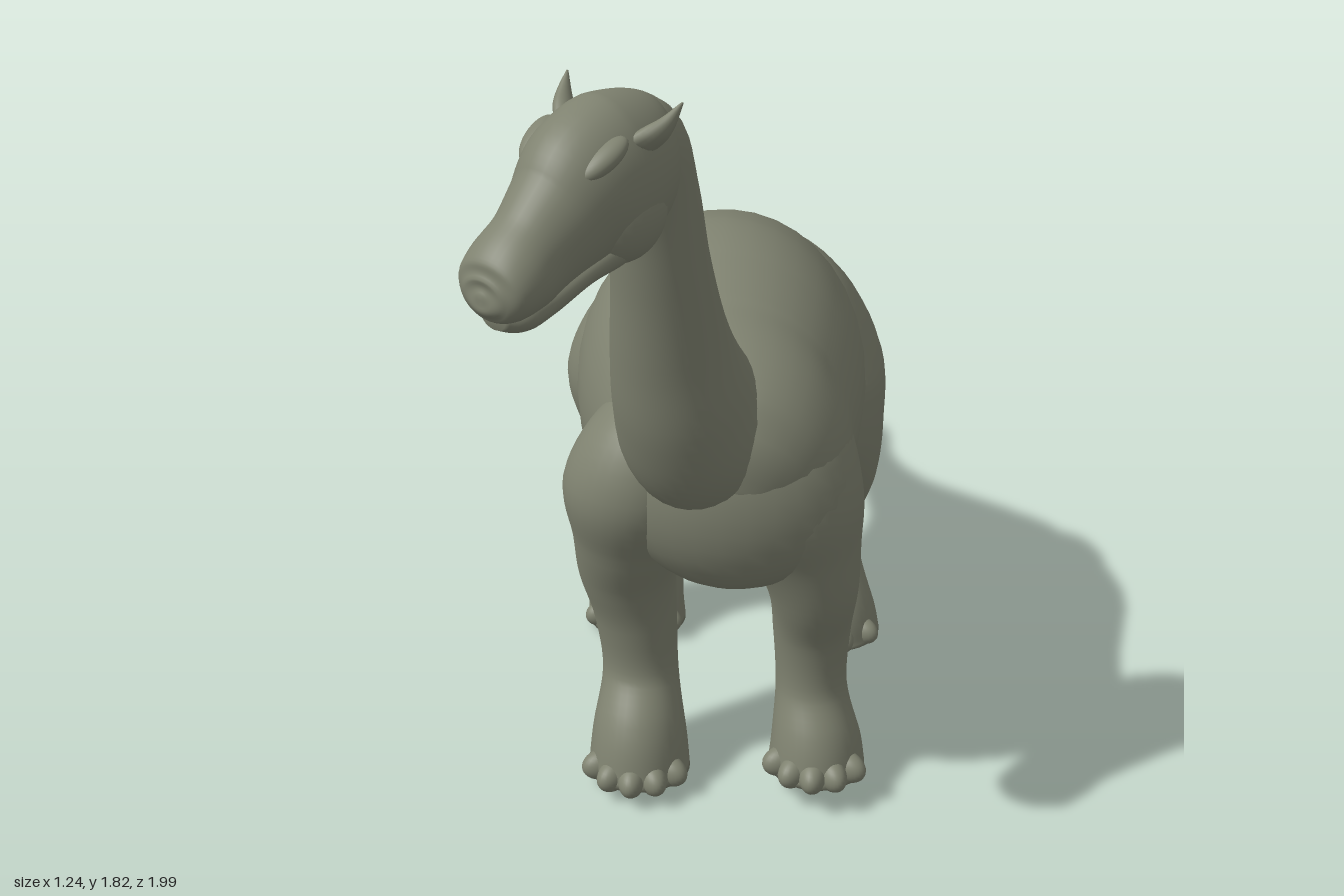
import * as THREE from 'three';

const skin = new THREE.MeshStandardMaterial({ color: 0x7f8270 });
skin.name = 'greyGreenSkin';

const rad = THREE.MathUtils.degToRad;

// Smooth closed loft. Rows: [x, y, z, side radius, depth radius, yaw in degrees]
function loft(name, rows, steps = 6, sides = 36) {
  const path = new THREE.CatmullRomCurve3(rows.map(r => new THREE.Vector3(r[0], r[1], r[2])), false, 'catmullrom', 0.5);
  const size = new THREE.CatmullRomCurve3(rows.map(r => new THREE.Vector3(r[3], r[4], r[5])), false, 'catmullrom', 0.5);
  const n = (rows.length - 1) * steps;
  const pos = [], index = [];
  for (let i = 0; i <= n; i++) {
    const c = path.getPoint(i / n), s = size.getPoint(i / n), T = path.getTangent(i / n);
    const yaw = rad(s.z);
    const side = new THREE.Vector3(Math.cos(yaw), 0, -Math.sin(yaw));
    const up = T.clone().cross(side).normalize();
    for (let j = 0; j < sides; j++) {
      const t = (j / sides) * Math.PI * 2;
      const p = c.clone()
        .addScaledVector(side, Math.max(s.x, 0.002) * Math.cos(t))
        .addScaledVector(up, Math.max(s.y, 0.002) * Math.sin(t));
      pos.push(p.x, p.y, p.z);
    }
  }
  for (let i = 0; i < n; i++) {
    for (let j = 0; j < sides; j++) {
      const k = (j + 1) % sides;
      const a = i * sides + j, b = i * sides + k, c = a + sides, d = b + sides;
      index.push(a, b, c, b, d, c);
    }
  }
  // End caps
  const first = pos.length / 3, last = first + 1, e = n * sides;
  pos.push(...path.getPoint(0).toArray(), ...path.getPoint(1).toArray());
  for (let j = 0; j < sides; j++) {
    const k = (j + 1) % sides;
    index.push(first, k, j, last, e + j, e + k);
  }
  const g = new THREE.BufferGeometry();
  g.setAttribute('position', new THREE.Float32BufferAttribute(pos, 3));
  g.setIndex(index);
  g.computeVertexNormals();
  const mesh = new THREE.Mesh(g, skin);
  mesh.name = name;
  return mesh;
}

function blob(name, p, r, rot = [0, 0, 0]) {
  const m = new THREE.Mesh(new THREE.SphereGeometry(1, 28, 18), skin);
  m.name = name;
  m.position.set(...p);
  m.scale.set(...r);
  m.rotation.set(...rot);
  return m;
}

// Leg from shoulder or hip down to the sole, with toes round the front of the foot
function leg(name, rows, toeCount, toeSize) {
  const yaw = -24;
  const g = new THREE.Group();
  g.name = name;
  g.add(loft(name + 'Limb', rows.map(r => [...r, yaw])));
  const [x, y, z, a, b] = rows[rows.length - 1];
  const foot = new THREE.Group();
  foot.name = name + 'Toes';
  foot.position.set(x, y, z);
  foot.rotation.y = rad(yaw);
  for (let i = 0; i < toeCount; i++) {
    const t = rad(-58 + (116 * i) / (toeCount - 1));
    foot.add(blob('toe', [Math.sin(t) * a * 0.75, toeSize * 0.9, Math.cos(t) * b * 0.75],
      [toeSize * 0.85, toeSize, toeSize * 1.4], [0, t, 0]));
  }
  g.add(foot);
  return g;
}

function head() {
  const g = new THREE.Group();
  g.name = 'head';
  g.position.set(-0.3, 0, 0.73);
  g.rotation.y = rad(-55);
  // Local rows: z, bottom, top, half width
  const rows = list => list.map(([z, lo, hi, w]) => [0, (lo + hi) / 2, z, w, (hi - lo) / 2, 0]);
  g.add(loft('skull', rows([
    [-0.13, 1.62, 1.73, 0.03], [-0.08, 1.55, 1.8, 0.095], [0.01, 1.495, 1.822, 0.12],
    [0.09, 1.49, 1.8, 0.118], [0.16, 1.485, 1.73, 0.1], [0.23, 1.47, 1.67, 0.085],
    [0.29, 1.46, 1.63, 0.088], [0.335, 1.46, 1.59, 0.08], [0.358, 1.48, 1.56, 0.05],
    [0.366, 1.51, 1.53, 0.01]])));
  g.add(loft('lowerJaw', rows([
    [-0.04, 1.53, 1.6, 0.05], [0.04, 1.488, 1.6, 0.09], [0.15, 1.475, 1.56, 0.082],
    [0.24, 1.445, 1.53, 0.072], [0.3, 1.436, 1.52, 0.066], [0.335, 1.45, 1.5, 0.03]])));
  for (const s of [-1, 1]) {
    g.add(blob('cheek', [s * 0.05, 1.6, 0.035], [0.073, 0.1, 0.1]));
    g.add(blob('brow', [s * 0.078, 1.735, 0.12], [0.03, 0.022, 0.06], [0.5, -s * 0.2, 0]));
    g.add(loft('horn', [
      [s * 0.075, 1.73, 0.03, 0.03, 0.04, 0], [s * 0.105, 1.755, 0.015, 0.025, 0.03, 0],
      [s * 0.125, 1.78, -0.005, 0.015, 0.018, 0], [s * 0.14, 1.815, -0.03, 0.002, 0.002, 0]], 4, 16));
  }
  return g;
}

export function createModel() {
  const model = new THREE.Group();
  model.name = 'longNeckedDinosaur';

  // Tail tip through to the chest
  model.add(loft('bodyAndTail', [
    [0.595, 0.44, -1.0, 0.012, 0.025, -20], [0.575, 0.435, -0.94, 0.035, 0.037, -22],
    [0.515, 0.437, -0.8, 0.052, 0.05, -24], [0.43, 0.55, -0.6, 0.073, 0.087, -24],
    [0.32, 0.715, -0.41, 0.145, 0.15, -24], [0.25, 0.805, -0.25, 0.25, 0.235, -24],
    [0.185, 0.84, -0.1, 0.31, 0.335, -24], [0.125, 0.845, 0.05, 0.335, 0.39, -22],
    [0.075, 0.84, 0.2, 0.325, 0.372, -20], [0.035, 0.845, 0.35, 0.293, 0.33, -20],
    [0.01, 0.85, 0.47, 0.268, 0.3, -22], [-0.01, 0.83, 0.56, 0.2, 0.22, -24],
    [-0.02, 0.8, 0.63, 0.06, 0.06, -24]]));

  model.add(blob('chest', [0.01, 0.81, 0.5], [0.26, 0.25, 0.165], [0, rad(-24), 0]));

  model.add(loft('neck', [
    [0.0, 0.84, 0.4, 0.14, 0.16, -25], [-0.06, 0.96, 0.5, 0.17, 0.185, -28],
    [-0.115, 1.08, 0.56, 0.147, 0.165, -32], [-0.155, 1.22, 0.6, 0.122, 0.132, -38],
    [-0.185, 1.4, 0.64, 0.1, 0.105, -45], [-0.21, 1.57, 0.665, 0.09, 0.098, -50],
    [-0.25, 1.69, 0.695, 0.088, 0.1, -55], [-0.33, 1.72, 0.75, 0.07, 0.07, -55]]));

  model.add(head());

  model.add(leg('frontLeftLeg', [
    [0.1, 1.08, 0.43, 0.05, 0.06], [0.125, 0.95, 0.455, 0.145, 0.18], [0.13, 0.79, 0.49, 0.178, 0.19],
    [0.17, 0.65, 0.51, 0.135, 0.14], [0.2, 0.53, 0.52, 0.102, 0.105], [0.21, 0.4, 0.495, 0.088, 0.085],
    [0.215, 0.25, 0.49, 0.082, 0.086], [0.22, 0.13, 0.52, 0.102, 0.12], [0.22, 0.05, 0.53, 0.112, 0.134]], 5, 0.038));

  model.add(leg('frontRightLeg', [
    [-0.06, 1.04, 0.36, 0.05, 0.06], [-0.11, 0.93, 0.37, 0.14, 0.15], [-0.16, 0.79, 0.38, 0.17, 0.175],
    [-0.18, 0.65, 0.365, 0.13, 0.13], [-0.18, 0.53, 0.34, 0.112, 0.105], [-0.16, 0.4, 0.33, 0.095, 0.09],
    [-0.15, 0.25, 0.335, 0.088, 0.088], [-0.165, 0.12, 0.38, 0.108, 0.125], [-0.17, 0.02, 0.395, 0.118, 0.138]], 5, 0.038));

  model.add(leg('backLeftLeg', [
    [0.23, 1.14, -0.05, 0.06, 0.09], [0.29, 1.02, -0.04, 0.15, 0.18], [0.345, 0.83, -0.04, 0.2, 0.235],
    [0.39, 0.67, 0.0, 0.155, 0.195], [0.425, 0.53, 0.01, 0.11, 0.12], [0.43, 0.39, -0.045, 0.094, 0.09],
    [0.435, 0.25, -0.065, 0.092, 0.085], [0.445, 0.11, -0.025, 0.112, 0.128], [0.45, 0.035, -0.015, 0.12, 0.138]], 4, 0.036));

  model.add(leg('backRightLeg', [
    [0.1, 1.11, -0.14, 0.06, 0.07], [0.04, 0.97, -0.14, 0.155, 0.17], [-0.01, 0.8, -0.15, 0.185, 0.19],
    [-0.01, 0.65, -0.175, 0.15, 0.16], [0.02, 0.5, -0.22, 0.1, 0.098], [0.03, 0.36, -0.24, 0.085, 0.083],
    [0.02, 0.2, -0.25, 0.096, 0.096], [-0.01, 0.09, -0.235, 0.12, 0.125], [-0.01, 0.012, -0.23, 0.125, 0.13]], 4, 0.036));

  return model;
}
